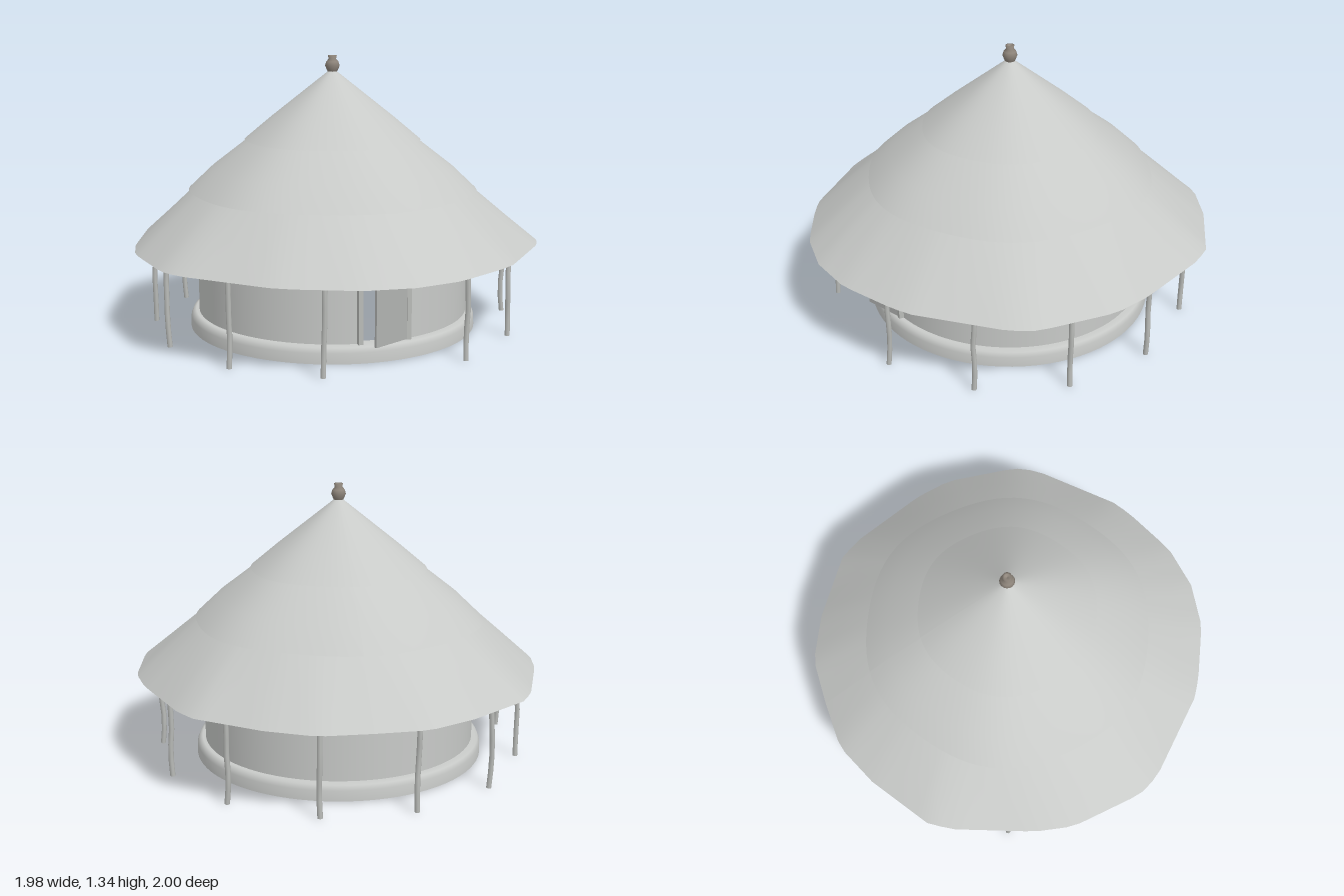
import * as THREE from 'three';

const mat = (name, color, side = THREE.FrontSide) => {
  const m = new THREE.MeshStandardMaterial({ color, side });
  m.name = name;
  return m;
};

export function createModel() {
  const plaster = mat('pale plaster and thatch', 0xc8cac8);
  const wood = mat('grey wood', 0xb9bbb8);
  const doorWood = mat('door grey', 0xb0b2b0);
  const brown = mat('roof lining brown', 0x8c837a, THREE.DoubleSide);
  const clay = mat('finial clay', 0x8f867c);

  const model = new THREE.Group();
  model.name = 'roundHouse';
  model.position.z = -0.02;
  const root = new THREE.Group();
  root.add(model);

  const add = (name, geo, material, parent = model) => {
    const mesh = new THREE.Mesh(geo, material);
    mesh.name = name;
    parent.add(mesh);
    return mesh;
  };
  // Turned part; every profile corner is doubled when sharp is true
  const lathe = (pts, sharp, segs = 72, start = 0, length = Math.PI * 2) => {
    const list = pts.flatMap(([r, y]) => {
      const p = new THREE.Vector2(r, y);
      return sharp ? [p, p.clone()] : [p];
    });
    return new THREE.LatheGeometry(list, segs, start, length);
  };
  const box = (name, w, h, d, x, y, z, material) =>
    add(name, new THREE.BoxGeometry(w, h, d), material).position.set(x, y, z);
  const rod = (name, points, radius, material) =>
    add(name, new THREE.TubeGeometry(new THREE.CatmullRomCurve3(points), 6, radius, 8), material);
  let seed = 7;
  const rand = () => ((seed = (seed * 16807) % 2147483647) / 2147483647) - 0.5;

  // Uneven eave: half outline as [degrees from the front, radius], mirrored
  const corners = [[0, 1.02], [13, 1.012], [28, 0.99], [35, 0.995], [62, 1.015], [69, 1.02], [90, 0.995],
    [101, 0.976], [125, 0.994], [132, 1.005], [152, 0.984], [166, 1.0], [180, 0.976]];
  const eave = (angle) => {
    const deg = Math.min(179.999, Math.abs(angle) * 180 / Math.PI);
    const i = corners.findIndex(([a], k) => k > 0 && a > deg);
    const [a0, r0] = corners[i - 1], [a1, r1] = corners[i];
    const s = (d) => Math.sin(d * Math.PI / 180);
    return r0 * r1 * s(a1 - a0) / (r0 * s(deg - a0) + r1 * s(a1 - deg));
  };
  const warp = (geo, ripple) => {
    const p = geo.attributes.position;
    for (let i = 0; i < p.count; i++) {
      const x = p.getX(i), y = p.getY(i), z = p.getZ(i), a = Math.atan2(x, z);
      const w = THREE.MathUtils.clamp((0.72 - y) / 0.3, 0, 1);
      const f = ripple ? 1 + ripple * Math.sin(a * 6 + 1) : 1 + (eave(a) - 1) * w;
      p.setX(i, x * f);
      p.setZ(i, z * f);
    }
    geo.computeVertexNormals();
    return geo;
  };
  const tier = (name, pts, ripple) => {
    // the lip is kept sharp, the slope smooth
    const profile = [pts[0], pts[1], ...pts.slice(1)];
    add(name, warp(lathe(profile, false, 90, Math.PI), ripple), plaster);
  };

  // Three overlapping thatch layers
  tier('lowerThatch', [[0.955, 0.42], [1, 0.42], [0.87, 0.532], [0.7, 0.678], [0.6, 0.757]], 0);
  tier('middleThatch', [[0.66, 0.69], [0.705, 0.68], [0.59, 0.79], [0.43, 0.915], [0.36, 0.965]], 0.012);
  tier('upperThatch', [[0.39, 0.93], [0.43, 0.925], [0.3, 1.035], [0.15, 1.155], [0, 1.275]], 0.01);
  add('roofLining', warp(lathe([[0.955, 0.42], [0.68, 0.645], [0.42, 0.87], [0, 1.2]], false, 90, Math.PI), 0), brown);

  // Finial pot on the peak
  add('finial', lathe([[0.02, 1.25], [0.026, 1.262], [0.036, 1.285], [0.03, 1.305], [0.018, 1.318],
    [0.022, 1.335], [0.012, 1.335], [0, 1.325]], false, 16), clay);

  // Rafters and ring beams under the roof
  const polar = (r, y, a) => new THREE.Vector3(r * Math.sin(a), y, r * Math.cos(a));
  for (let i = 0; i < 24; i++) {
    const a = (i + 0.5) / 24 * Math.PI * 2;
    rod('rafter', [polar(0.93, 0.43, a), polar(0.48, 0.8, a), polar(0.02, 1.175, a)], 0.008, wood);
  }
  const ring = (name, r, y, tube, material) => {
    const m = add(name, new THREE.TorusGeometry(r, tube, 8, 72), material);
    m.rotation.x = Math.PI / 2;
    m.position.y = y;
  };
  ring('verandaBeam', 0.885, 0.462, 0.011, wood);
  ring('wallPlate', 0.645, 0.485, 0.014, brown);

  // Veranda posts, slightly crooked, with a wider gap at the entrance
  for (const side of [1, -1]) {
    for (let i = 0; i < 6; i++) {
      const a = side * (22.8 + 28.6 * i) * Math.PI / 180;
      const pts = [0, 0.12, 0.24, 0.36, 0.47].map((y) =>
        polar(0.89, y, a).add(new THREE.Vector3(rand() * 0.012, 0, rand() * 0.012)));
      rod('verandaPost', pts, 0.0125, wood);
      const foot = add('postFoot', new THREE.CircleGeometry(0.0125, 8), wood);
      foot.rotation.x = Math.PI / 2;
      foot.position.copy(pts[0]);
    }
  }

  // Round wall with a doorway, standing on a rounded plinth
  const gap = 0.168;
  const wall = (y0, y1) => [[0.67, y0], [0.67, y1], [0.63, y1], [0.63, y0], [0.67, y0]];
  add('wall', lathe(wall(0.06, 0.48), true, 80, gap, Math.PI * 2 - 2 * gap), plaster);
  add('wallOverDoor', lathe(wall(0.415, 0.48), true, 8, -gap, 2 * gap), plaster);
  add('plinth', lathe([[0.63, 0], [0.63, 0], [0.712, 0], [0.712, 0], [0.71, 0.05], [0.7, 0.073], [0.685, 0.08],
    [0.63, 0.08], [0.63, 0.08], [0.63, 0]], false, 80), plaster);

  // Door frame and half-open leaf hinged on the model's left
  for (const x of [-0.115, 0.122]) box('doorJamb', 0.022, 0.335, 0.06, x, 0.2475, 0.65, wood);
  box('doorLintel', 0.259, 0.022, 0.06, 0.0035, 0.407, 0.65, wood);
  const hinge = new THREE.Group();
  hinge.name = 'door';
  hinge.position.set(0.112, 0.245, 0.67);
  hinge.rotation.y = 0.4;
  model.add(hinge);
  add('doorLeaf', new THREE.BoxGeometry(0.2, 0.325, 0.012), doorWood, hinge).position.x = -0.1;

  return root;
}
